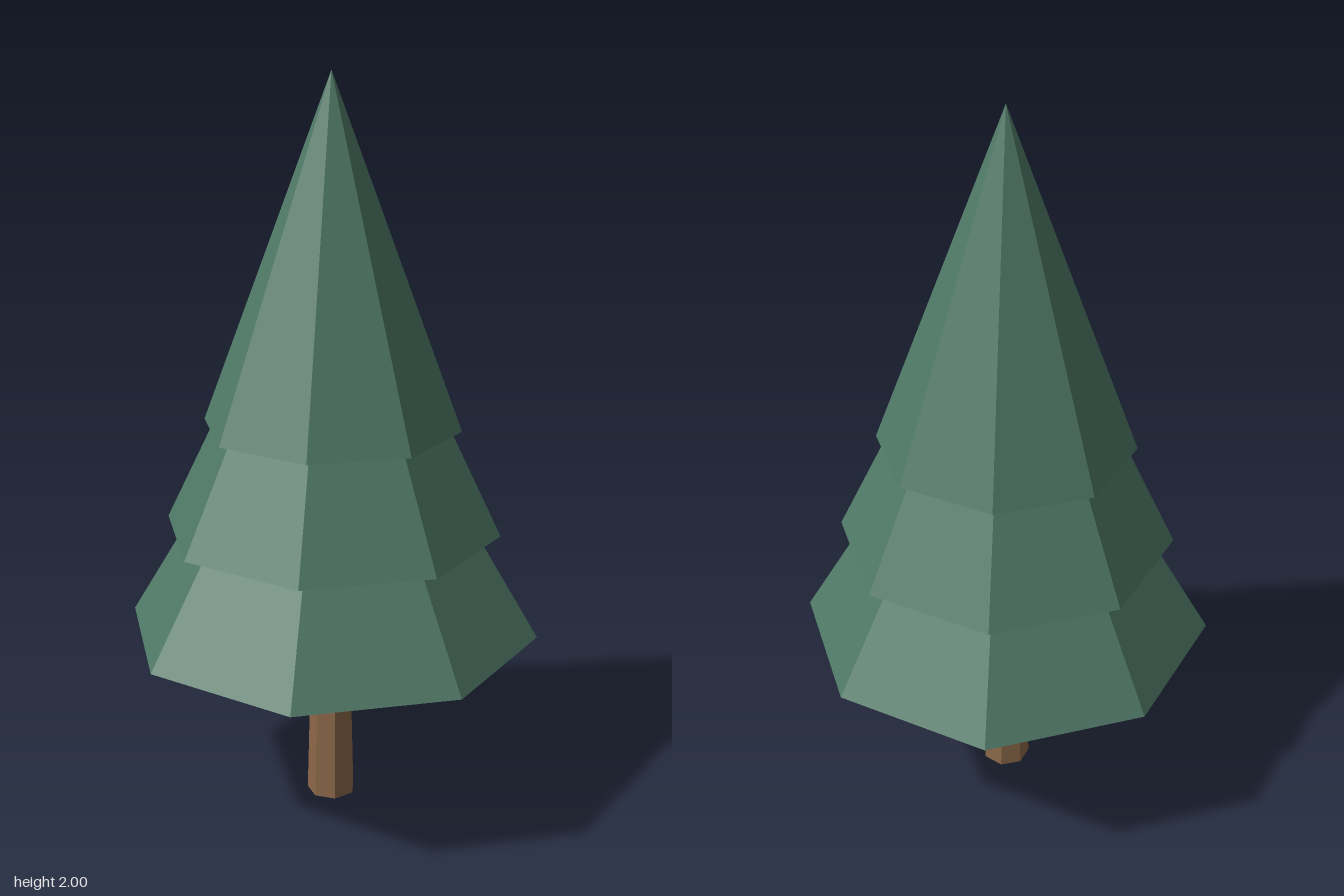
import * as THREE from 'three';

export function createModel() {
  const tree = new THREE.Group();
  tree.name = 'pineTree';

  const needles = new THREE.MeshStandardMaterial({ color: 0x4f7866 });
  needles.name = 'needleGreen';
  needles.flatShading = true;
  const bark = new THREE.MeshStandardMaterial({ color: 0x8c6849 });
  bark.name = 'barkBrown';
  bark.flatShading = true;

  // Tapered seven-sided trunk, one corner pointing back
  const trunkHeight = 0.55;
  const trunk = new THREE.Mesh(new THREE.CylinderGeometry(0.053, 0.068, trunkHeight, 7), bark);
  trunk.name = 'trunk';
  trunk.position.y = trunkHeight / 2;
  trunk.rotation.y = Math.PI;
  tree.add(trunk);

  // Three overlapping eight-sided foliage tiers
  const tiers = [
    { name: 'lowerFoliage', radius: 0.565, base: 0.515, tip: 1.46 },
    { name: 'middleFoliage', radius: 0.457, base: 0.8, tip: 1.74 },
    { name: 'upperFoliage', radius: 0.347, base: 1.085, tip: 2 },
  ];
  for (const { name, radius, base, tip } of tiers) {
    const tier = new THREE.Mesh(new THREE.ConeGeometry(radius, tip - base, 8), needles);
    tier.name = name;
    tier.position.y = (base + tip) / 2;
    tree.add(tier);
  }

  return tree;
}
